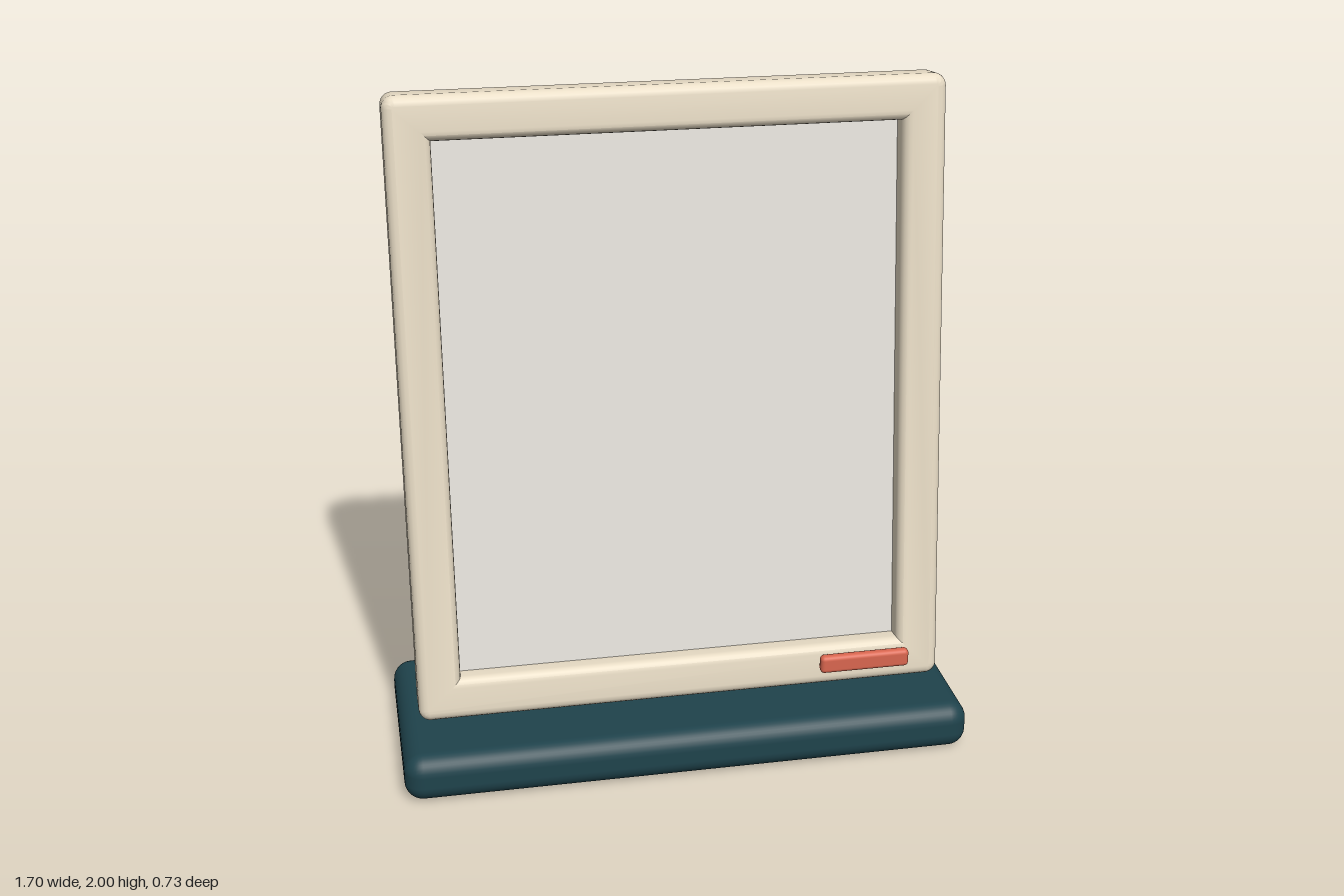
import * as THREE from 'three';
import { toCreasedNormals } from 'three/addons/utils/BufferGeometryUtils.js';
import { RoundedBoxGeometry } from 'three/addons/geometries/RoundedBoxGeometry.js';

const paint = (color) => new THREE.MeshStandardMaterial({ color });
const cream = paint(0xe8dcc5);
const teal = paint(0x1f434c);
const slate = paint(0x3d5a62);
const coral = paint(0xd9664f);
const paper = paint(0xe6e3dc);

function add(parent, name, geometry, material, x, y, z) {
  const mesh = new THREE.Mesh(geometry, material);
  mesh.name = name;
  mesh.position.set(x, y, z);
  parent.add(mesh);
  return mesh;
}

// Rectangle outline with rounded corners, centred on the origin
function roundedRect(w, h, r) {
  const shape = new THREE.Shape();
  const x = w / 2 - r, y = h / 2 - r;
  shape.absarc(x, y, r, 0, Math.PI / 2);
  shape.absarc(-x, y, r, Math.PI / 2, Math.PI);
  shape.absarc(-x, -y, r, Math.PI, Math.PI * 1.5);
  shape.absarc(x, -y, r, Math.PI * 1.5, Math.PI * 2);
  shape.closePath();
  return shape;
}

// Picture frame: a rectangular ring with softened edges
function frameGeometry(w, h, depth, rail, bevel) {
  const shape = roundedRect(w, h, 0.035);
  const x = w / 2 - rail, y = h / 2 - rail;
  shape.holes.push(new THREE.Path([[-x, -y], [-x, y], [x, y], [x, -y]].map(([a, b]) => new THREE.Vector2(a, b))));
  const geometry = new THREE.ExtrudeGeometry(shape, {
    depth: depth - 2 * bevel, bevelThickness: bevel, bevelSize: bevel,
    bevelOffset: -bevel, bevelSegments: 4, curveSegments: 4,
  });
  geometry.translate(0, 0, bevel - depth / 2);
  return toCreasedNormals(geometry, 0.6);
}

export function createModel() {
  const model = new THREE.Group();
  model.name = 'pictureStand';

  // Heavy foot
  add(model, 'base', new RoundedBoxGeometry(1.7, 0.145, 0.64, 4, 0.055), teal, 0, 0.0725, 0.045);

  // Picture, leaning back
  const picture = new THREE.Group();
  picture.name = 'picture';
  picture.position.set(0, 1.082, 0.033);
  picture.rotation.x = -0.115;
  model.add(picture);
  add(picture, 'frame', frameGeometry(1.585, 1.83, 0.145, 0.128, 0.028), cream, 0, 0, 0);
  add(picture, 'panel', new THREE.BoxGeometry(1.34, 1.58, 0.04), paper, 0, 0, -0.013);
  add(picture, 'backBoard', new RoundedBoxGeometry(1.53, 1.79, 0.1, 4, 0.045), teal, 0, 0, -0.0875);

  // Prop behind the picture, sunk into the base
  const prop = add(model, 'prop', new RoundedBoxGeometry(0.22, 1.27, 0.102, 3, 0.02), slate, 0, 0.702, -0.16);
  prop.rotation.x = -0.248;

  // Small label at the lower corner
  add(model, 'label', new RoundedBoxGeometry(0.275, 0.056, 0.032, 3, 0.013), coral, 0.552, 0.263, 0.224);

  return model;
}
